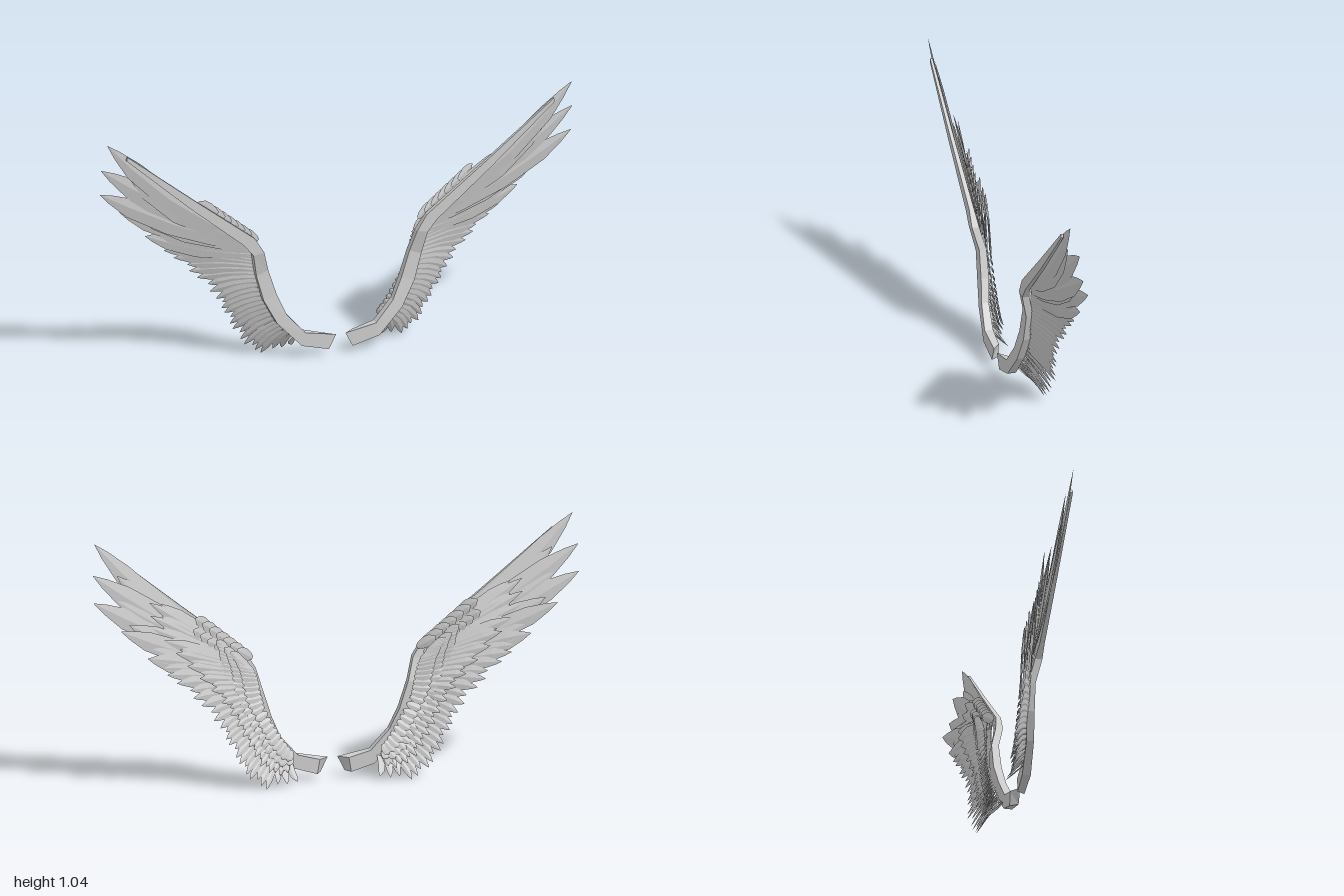
import * as THREE from 'three';
import { mergeGeometries } from 'three/addons/utils/BufferGeometryUtils.js';

const material = new THREE.MeshStandardMaterial({ color: 0xcccccc, flatShading: true, side: THREE.DoubleSide });
const V = (x, y, z) => new THREE.Vector3(x, y, z);

// Joins rings of four corners into a capped solid; side -1 mirrors it across x
function loft(rings, side) {
  const pos = rings.flat().flatMap((p) => [p.x * side, p.y, p.z]);
  const index = [];
  const tri = (a, b, c) => index.push(...(side > 0 ? [a, b, c] : [a, c, b]));
  for (let i = 0; i < rings.length - 1; i++) {
    for (let j = 0; j < 4; j++) {
      const a = i * 4 + j, b = i * 4 + (j + 1) % 4;
      tri(a, b, b + 4);
      tri(a, b + 4, a + 4);
    }
  }
  const e = (rings.length - 1) * 4;
  tri(0, 2, 1); tri(0, 3, 2);
  tri(e, e + 1, e + 2); tri(e, e + 2, e + 3);
  const geo = new THREE.BufferGeometry();
  geo.setAttribute('position', new THREE.Float32BufferAttribute(pos, 3));
  geo.setIndex(index);
  geo.computeVertexNormals();
  return geo;
}

// Thin pointed blade with a raised quill line; bend bows it sideways, tilt twists it
const BLADE = [[0, 0.35], [0.2, 0.75], [0.5, 1], [0.78, 0.85], [0.92, 0.4], [1, 0.02]];
function feather(root, tip, width, side, bend = 0, tilt = 0.12) {
  const d = tip.clone().sub(root);
  const s = V(-d.y, d.x, 0).normalize();
  const across = V(s.x, s.y, tilt);
  const thick = 0.003 + width * 0.04;
  return loft(BLADE.map(([t, w]) => {
    const c = root.clone().addScaledVector(d, t).addScaledVector(s, bend * Math.sin(Math.PI * t));
    const h = width * w / 2;
    return [
      c.clone().addScaledVector(across, h), c.clone().add(V(0, 0, thick * w)),
      c.clone().addScaledVector(across, -h), c.clone().add(V(0, 0, -thick * w)),
    ];
  }), side);
}

// Arm bone stations: leading x, y, trailing x, y, front z, back z, back corner shift
const ARM = [
  [0.02, 0.09, 0.05, 0.03, 0.065, 0.033, 0.04],
  [0.15, 0.115, 0.165, 0.06, 0.065, 0.03, 0],
  [0.225, 0.2, 0.265, 0.165, 0.055, 0.025, 0],
  [0.265, 0.29, 0.32, 0.27, 0.045, 0.012, 0],
  [0.30, 0.4, 0.35, 0.38, 0.042, 0.012, 0],
  [0.325, 0.49, 0.37, 0.48, 0.065, 0.035, 0],
  [0.365, 0.555, 0.41, 0.53, 0.065, 0.045, 0],
  [0.62, 0.755, 0.64, 0.725, 0.065, 0.05, 0],
  [0.905, 0.985, 0.91, 0.97, 0.065, 0.055, 0],
];

// Flight feather guides from wing tip to body: root x, y, tip x, y, tip z, width
const GUIDES = [
  [0.41, 0.55, 0.985, 1.04, 0.05, 0.09],
  [0.39, 0.53, 1.0, 0.92, 0.015, 0.1],
  [0.38, 0.51, 1.0, 0.81, 0.0, 0.1],
  [0.37, 0.50, 0.9, 0.70, -0.05, 0.09],
  [0.36, 0.47, 0.79, 0.58, -0.05, 0.075],
  [0.35, 0.43, 0.67, 0.47, -0.05, 0.06],
  [0.34, 0.38, 0.57, 0.37, -0.05, 0.05],
  [0.33, 0.33, 0.49, 0.27, -0.045, 0.045],
  [0.30, 0.27, 0.455, 0.20, -0.05, 0.042],
  [0.27, 0.22, 0.415, 0.12, -0.06, 0.04],
  [0.24, 0.17, 0.37, 0.05, -0.05, 0.036],
  [0.21, 0.13, 0.30, 0.004, -0.05, 0.032],
  [0.18, 0.10, 0.17, 0.025, -0.04, 0.03],
];
const LAST = GUIDES.length - 1;

// Root, tip and width at any place u between the guides
function guide(u) {
  const i = Math.min(Math.floor(u), LAST - 1);
  const g = GUIDES[i].map((a, k) => THREE.MathUtils.lerp(a, GUIDES[i + 1][k], u - i));
  const rootZ = 0.038 - 0.016 * Math.sin(Math.PI * Math.min(1, u / LAST));
  return { root: V(g[0], g[1], rootZ), tip: V(g[2], g[3], g[4]), width: g[5] };
}

function createWing(side) {
  const wing = new THREE.Group();
  wing.name = side > 0 ? 'leftWing' : 'rightWing';
  const add = (name, geos) => {
    const mesh = new THREE.Mesh(mergeGeometries(geos), material);
    mesh.name = name;
    wing.add(mesh);
  };

  add('armBone', [loft(ARM.map(([ax, ay, bx, by, zf, zb, shift]) => [
    V(ax + shift, ay, zb), V(ax, ay, zf), V(bx, by, zf), V(bx + shift / 2, by, zb),
  ]), side)]);

  // Long outer feathers, with shorter ones filling the gaps
  const primaries = [];
  for (let u = 0; u <= 4; u += 0.5) {
    const { root, tip, width } = guide(u);
    if (u % 1) tip.lerp(root, 0.16);
    primaries.push(feather(root, tip, width, side, u < 1 ? -0.035 : -0.015));
  }
  add('primaryFeathers', primaries);

  // Inner trailing feathers, drooping toward the body
  const secondaries = [];
  for (let k = 0; k <= 24; k++) {
    const { root, tip, width } = guide(4 + k * (LAST - 4) / 24);
    if (k % 3 === 1) tip.lerp(root, 0.08);
    secondaries.push(feather(root, tip, width, side, 0.012));
  }
  add('secondaryFeathers', secondaries);

  // Middle layer on the back
  const coverts = [];
  for (let k = 0; k <= 34; k++) {
    const { root, tip, width } = guide(0.4 + k * (LAST - 0.8) / 34);
    const end = root.clone().lerp(tip, k % 2 ? 0.62 : 0.54);
    root.z -= 0.02;
    end.z -= 0.018;
    coverts.push(feather(root, end, Math.min(width * 0.75, 0.055), side, 0.005));
  }
  add('coverts', coverts);

  // Short scale feathers over the back of the arm
  const scales = [];
  for (let row = 0; row < 3; row++) {
    for (let k = 0; k <= 24; k++) {
      const { root, tip } = guide((k + (row % 2) * 0.5) * (LAST - 0.5) / 24.5);
      const dir = tip.clone().sub(root).setZ(0);
      const size = Math.min(0.075, dir.length() * 0.35);
      const start = root.clone().addScaledVector(dir.normalize(), row * size * 0.5 - 0.03);
      start.z = 0.0 - (2 - row) * 0.005;
      const end = start.clone().addScaledVector(dir, size);
      end.z = -0.02 - (2 - row) * 0.003;
      scales.push(feather(start, end, 0.036, side, 0, 0.25));
    }
  }
  // Scale feathers along the outer leading edge
  for (let row = 0; row < 4; row++) {
    for (let k = 0; k < 7 - row; k++) {
      const t = (k + (row % 2) * 0.5) / 7;
      const start = V(0.34 + 0.2 * t + row * 0.025, 0.53 + 0.165 * t - row * 0.028, 0.03 - row * 0.008);
      const end = start.clone().add(V(0.07, 0.05 - row * 0.006, -0.03));
      scales.push(feather(start, end, 0.046, side, 0, 0.25));
    }
  }
  add('scaleFeathers', scales);
  return wing;
}

export function createModel() {
  const model = new THREE.Group();
  model.name = 'wings';
  model.add(createWing(1), createWing(-1));
  return model;
}
